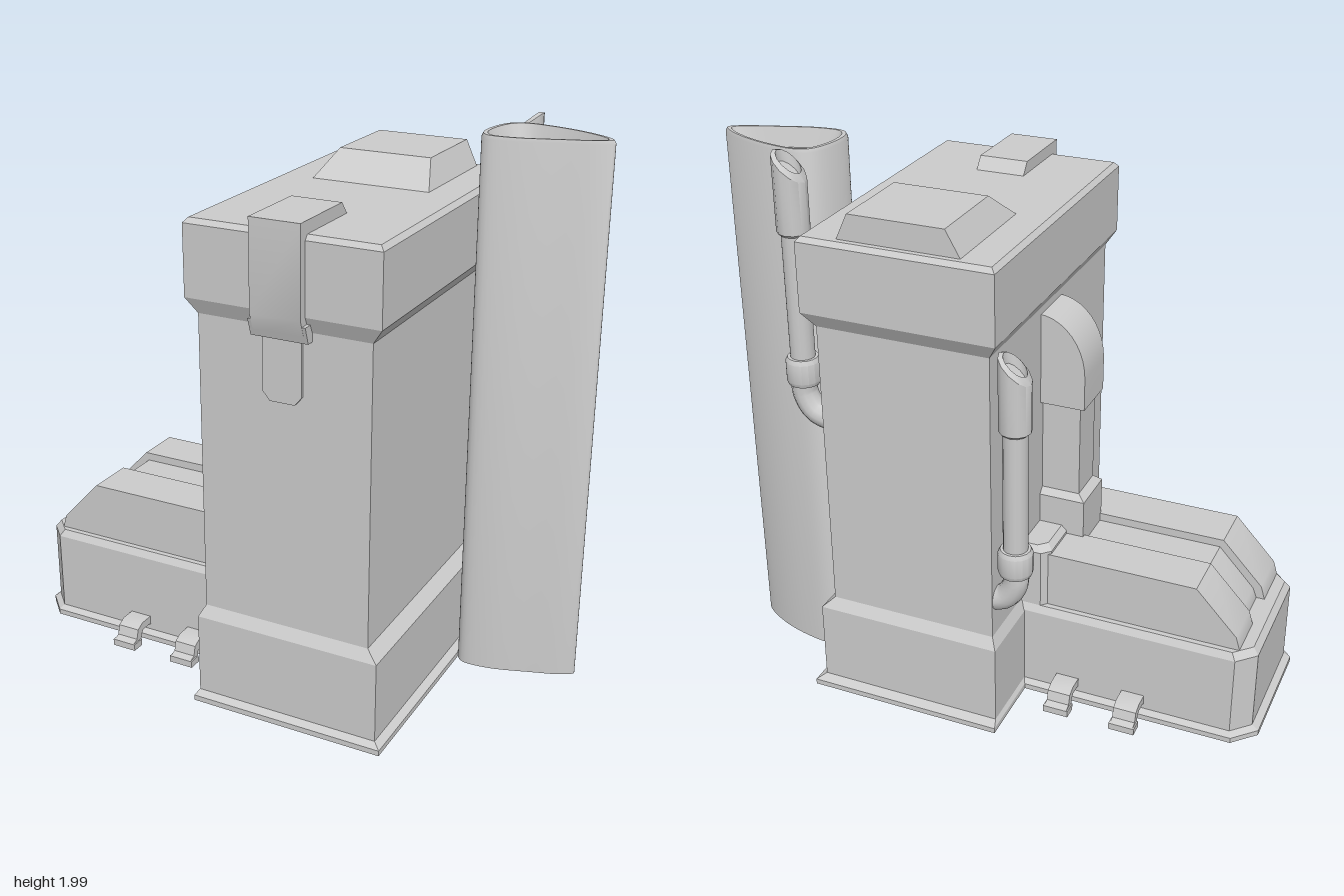
import * as THREE from 'three';
import { toCreasedNormals } from 'three/addons/utils/BufferGeometryUtils.js';

const grey = new THREE.MeshStandardMaterial({ color: 0xcccccc, side: THREE.DoubleSide });

function add(parent, name, geometry) {
  const mesh = new THREE.Mesh(geometry, grey);
  mesh.name = name;
  parent.add(mesh);
  return mesh;
}

// Stacked outlines: rings = [{ y, pts: [[x, z], ...] }], counter-clockwise from above
function loft(rings, crease = 0.3) {
  const pos = [];
  const put = (ring, i) => {
    const p = ring.pts[i % ring.pts.length];
    pos.push(p[0], ring.y, p[1]);
  };
  for (let r = 0; r < rings.length - 1; r++) {
    const lo = rings[r], hi = rings[r + 1];
    for (let i = 0; i < lo.pts.length; i++) {
      put(lo, i); put(lo, i + 1); put(hi, i + 1);
      put(lo, i); put(hi, i + 1); put(hi, i);
    }
  }
  const top = rings[rings.length - 1];
  for (let i = 1; i < top.pts.length - 1; i++) { put(top, 0); put(top, i); put(top, i + 1); }
  const g = new THREE.BufferGeometry();
  g.setAttribute('position', new THREE.Float32BufferAttribute(pos, 3));
  return toCreasedNormals(g, crease);
}

const rect = (y, x0, x1, z0, z1) => ({ y, pts: [[x0, z1], [x1, z1], [x1, z0], [x0, z0]] });

// Outline with the two far corners cut off
const cutRect = (y, x0, x1, zh, c) => ({
  y,
  pts: [[x0 + c, zh], [x1, zh], [x1, -zh], [x0 + c, -zh], [x0, c - zh], [x0, zh - c]],
});

// Side profile in x-y, extruded from z0 to z1
function slab(points, z0, z1) {
  const shape = new THREE.Shape(points.map((p) => new THREE.Vector2(p[0], p[1])));
  const g = new THREE.ExtrudeGeometry(shape, { depth: z1 - z0, bevelEnabled: false });
  return toCreasedNormals(g.translate(0, 0, z0), 0.5);
}

// Side profile in z-y, extruded from x0 to x1
const slabX = (points, x0, x1) => slab(points, -x1, -x0).rotateY(-Math.PI / 2);

// Vertical vent pipe: slanted open mouth, thin shaft, collar, elbow turning toward side
function ventPipe(x, y, z, side) {
  const pipe = new THREE.Group();
  pipe.name = 'ventPipe';
  pipe.position.set(x, y, z);
  const profile = [[0.045, 0.69], [0.056, 0.7], [0.056, 0.93], [0.04, 0.945], [0.036, 0.91], [0, 0.91]];
  const sleeve = new THREE.LatheGeometry(profile.map((p) => new THREE.Vector2(p[0], p[1])), 12);
  const pos = sleeve.attributes.position;
  for (let i = 0; i < pos.count; i++) {
    if (pos.getY(i) > 0.8) pos.setY(i, pos.getY(i) + pos.getX(i) * 0.85 - 0.01);
  }
  add(pipe, 'pipeMouth', toCreasedNormals(sleeve, 0.6));
  add(pipe, 'pipeShaft', new THREE.CylinderGeometry(0.043, 0.043, 0.5, 16, 1, true).translate(0, 0.46, 0));
  const ring = [[0.04, 0.15], [0.055, 0.15], [0.061, 0.165], [0.061, 0.235], [0.053, 0.25], [0.04, 0.25]];
  add(pipe, 'pipeCollar', toCreasedNormals(
    new THREE.LatheGeometry(ring.map((p) => new THREE.Vector2(p[0], p[1])), 16), 0.5));
  const path = new THREE.CatmullRomCurve3([
    new THREE.Vector3(0, 0.17, 0), new THREE.Vector3(0, 0.11, 0),
    new THREE.Vector3(side * 0.035, 0.05, 0), new THREE.Vector3(side * 0.09, 0.03, 0),
    new THREE.Vector3(side * 0.14, 0.025, 0),
  ]);
  add(pipe, 'pipeElbow', new THREE.TubeGeometry(path, 12, 0.045, 12));
  return pipe;
}

export function createModel() {
  const model = new THREE.Group();
  model.name = 'boilerBuilding';

  // Tall tower with foot flange, plinth and overhanging cap, open underneath
  add(model, 'tower', loft([
    rect(0, -0.14, 0.58, -0.585, 0.575), rect(0.02, -0.14, 0.58, -0.585, 0.575),
    rect(0.035, -0.13, 0.553, -0.552, 0.55), rect(0.33, -0.13, 0.553, -0.552, 0.55),
    rect(0.37, -0.11, 0.51, -0.527, 0.525), rect(1.44, -0.11, 0.51, -0.527, 0.525),
    rect(1.495, -0.145, 0.55, -0.56, 0.55), rect(1.74, -0.145, 0.55, -0.56, 0.55),
    rect(1.757, -0.13, 0.535, -0.545, 0.535),
  ]));

  // Sloped roof box
  add(model, 'roofBox', loft([
    rect(1.75, -0.02, 0.42, -0.525, -0.085), rect(1.847, 0.035, 0.375, -0.525, -0.2),
  ]));

  // Hooked clip over the front edge of the cap and the tongue below it
  add(model, 'frontClip', slabX([
    [0.26, 1.75], [0.53, 1.75], [0.53, 1.44], [0.555, 1.42], [0.58, 1.49], [0.58, 1.8], [0.3, 1.8],
  ], 0.11, 0.29));
  add(model, 'clipLip', slabX([[0.52, 1.41], [0.552, 1.41], [0.572, 1.47], [0.52, 1.47]], 0.098, 0.302));
  add(model, 'clipTongue', slab([
    [0.13, 1.43], [0.13, 1.22], [0.155, 1.19], [0.245, 1.19], [0.27, 1.22], [0.27, 1.43],
  ], 0.51, 0.536));

  // Low annex with cut corners, open underneath
  add(model, 'annex', loft([
    cutRect(0, -1, -0.115, 0.31, 0.08), cutRect(0.02, -1, -0.115, 0.31, 0.08),
    cutRect(0.035, -0.975, -0.115, 0.29, 0.065), cutRect(0.335, -0.975, -0.115, 0.29, 0.065),
    cutRect(0.36, -0.955, -0.115, 0.275, 0.06),
  ]));

  // Sloped annex cover with a groove down the middle
  const cover = (d) => [[-0.915 + d, 0.35], [-0.12, 0.35], [-0.12, 0.57 - d], [-0.75 + d * 0.4, 0.57 - d],
    [-0.9 + d, 0.41 - d * 0.4], [-0.915 + d, 0.36]];
  add(model, 'coverSide', slab(cover(0), 0.075, 0.255));
  add(model, 'coverSide', slab(cover(0), -0.255, -0.085));
  add(model, 'coverGroove', slab(cover(0.03), -0.085, 0.075));
  add(model, 'coverCollar', loft([
    cutRect(0.35, -0.215, -0.1, 0.275, 0.03), cutRect(0.58, -0.215, -0.1, 0.275, 0.03),
    cutRect(0.6, -0.195, -0.1, 0.255, 0.03),
  ]));

  // Square duct rising from the annex into the tower
  add(model, 'ductFoot', loft([
    rect(0.53, -0.278, -0.1, -0.1, 0.087), rect(0.71, -0.278, -0.1, -0.1, 0.087),
    rect(0.732, -0.25, -0.1, -0.078, 0.065),
  ]));
  add(model, 'ductShaft', loft([
    rect(0.7, -0.25, -0.1, -0.078, 0.065), rect(1.1, -0.25, -0.1, -0.078, 0.065),
  ]));
  const hood = [[-0.1, 1.08], [-0.1, 1.41]];
  for (let i = 0; i <= 10; i++) {
    const a = Math.PI / 2 + (i / 10) * Math.PI / 2;
    hood.push([-0.1 + 0.172 * Math.cos(a), 1.2 + 0.215 * Math.sin(a)]);
  }
  hood.push([-0.272, 1.08]);
  add(model, 'ductHood', slab(hood, -0.1, 0.087));

  // Anchor straps along both long sides of the annex
  const strap = [[0.28, 0.05], [0.28, 0.09], [0.345, 0.09], [0.375, 0.075], [0.385, 0.04], [0.41, 0.03],
    [0.41, 0.005], [0.36, 0.005], [0.355, 0.045], [0.34, 0.06], [0.3, 0.06]];
  for (const x of [-0.55, -0.3]) {
    for (const turn of [0, Math.PI]) {
      const anchor = new THREE.Group();
      anchor.name = 'anchorStrap';
      add(anchor, 'strap', slabX(strap, -0.042, 0.042));
      add(anchor, 'strapFoot', new THREE.BoxGeometry(0.094, 0.025, 0.05).translate(0, 0.0175, 0.385));
      anchor.position.x = x;
      anchor.rotation.y = turn;
      model.add(anchor);
    }
  }

  // Teardrop chimney with a bevelled rim and a recessed mouth
  const drop = new THREE.CatmullRomCurve3([
    [0.575, -0.14], [0.605, -0.1], [0.7, -0.1], [0.85, -0.145], [0.97, -0.19], [1, -0.217],
    [0.975, -0.247], [0.88, -0.3], [0.76, -0.337], [0.65, -0.347], [0.605, -0.32], [0.575, -0.24],
  ].map((p) => new THREE.Vector3(p[0], 0, p[1])), true).getPoints(60).slice(0, 60);
  const dropRing = (y, s) => ({
    y, pts: drop.map((p) => [0.76 + (p.x - 0.76) * s, -0.22 + (p.z + 0.22) * s]),
  });
  add(model, 'chimney', loft([
    dropRing(0, 1), dropRing(1.955, 1), dropRing(1.967, 0.97), dropRing(1.967, 0.9),
    dropRing(1.9, 0.74),
  ], 0.5));

  // Two vent pipes
  model.add(ventPipe(0.63, 1.02, -0.43, -1));
  model.add(ventPipe(-0.178, 0.475, -0.48, 1));

  return model;
}
